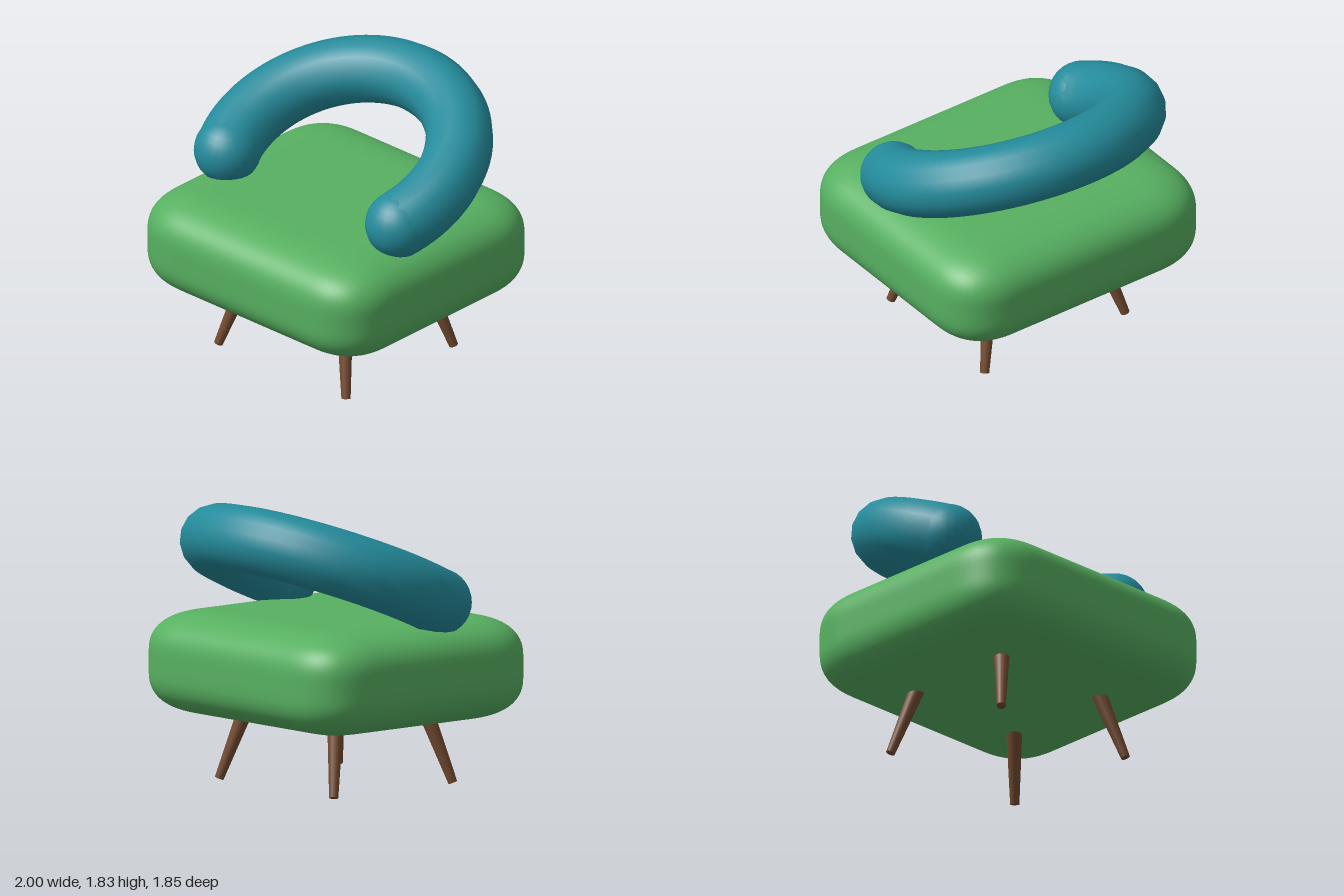
import * as THREE from 'three';
import { mergeVertices } from 'three/addons/utils/BufferGeometryUtils.js';

// Box with soft, slightly squared-off rounding on every edge
function cushionGeometry(half, radius, power) {
  const geo = new THREE.BoxGeometry(half.x * 2, half.y * 2, half.z * 2, 36, 20, 36);
  geo.deleteAttribute('uv');
  geo.deleteAttribute('normal');
  const pos = geo.attributes.position;
  const axes = ['x', 'y', 'z'];
  const p = new THREE.Vector3(), inner = new THREE.Vector3(), d = new THREE.Vector3();
  const limit = half.clone().sub(radius);
  for (let i = 0; i < pos.count; i++) {
    p.fromBufferAttribute(pos, i);
    inner.copy(p).clamp(limit.clone().negate(), limit);
    d.copy(p).sub(inner).divide(radius);
    const len = axes.reduce((s, a) => s + Math.abs(d[a]) ** power, 0) ** (1 / power);
    d.divideScalar(len || 1).multiply(radius).add(inner);
    pos.setXYZ(i, d.x, d.y, d.z);
  }
  const merged = mergeVertices(geo, 1e-4);
  merged.computeVertexNormals();
  return merged;
}

export function createModel() {
  const group = new THREE.Group();
  const green = new THREE.MeshStandardMaterial({ name: 'green fabric', color: 0x57b061 });
  const teal = new THREE.MeshStandardMaterial({ name: 'teal fabric', color: 0x248b9b });
  const brown = new THREE.MeshStandardMaterial({ name: 'brown wood', color: 0x744b30 });

  const add = (name, geo, mat, parent = group) => {
    const mesh = new THREE.Mesh(geo, mat);
    mesh.name = name;
    parent.add(mesh);
    return mesh;
  };

  // Seat cushion
  const seat = add('seat', cushionGeometry(
    new THREE.Vector3(0.975, 0.329, 0.9), new THREE.Vector3(0.42, 0.27, 0.42), 2.5), green);
  seat.position.set(0, 0.753, 0.025);

  // Backrest: a tilted horseshoe roll with rounded ends
  const backrest = new THREE.Group();
  backrest.name = 'backrest';
  group.add(backrest);
  const rollRadius = 0.213, overlap = 0.365, path = [];
  for (let i = 0; i <= 24; i++) {
    const t = -overlap + (i / 24) * (Math.PI + 2 * overlap);
    const z = -0.015 - 0.7 * Math.sin(t);
    path.push(new THREE.Vector3(0.787 * Math.cos(t), 1.615 - 0.427 * (z + 0.715), z));
  }
  add('backrestRoll', new THREE.TubeGeometry(
    new THREE.CatmullRomCurve3(path), 64, rollRadius, 16), teal, backrest);
  [['leftRollEnd', path[0]], ['rightRollEnd', path[24]]].forEach(([name, point]) => {
    add(name, new THREE.SphereGeometry(rollRadius, 24, 16), teal, backrest).position.copy(point);
  });

  // Splayed, tapered legs
  const up = new THREE.Vector3(0, 1, 0);
  for (const sx of [1, -1]) for (const sz of [1, -1]) {
    const foot = new THREE.Vector3(0.548 * sx, 0.012, 0.025 + 0.495 * sz);
    const top = new THREE.Vector3(0.402 * sx, 0.55, 0.025 + 0.352 * sz);
    const axis = top.clone().sub(foot);
    const name = (sz > 0 ? 'front' : 'back') + (sx > 0 ? 'Left' : 'Right') + 'Leg';
    const leg = add(name, new THREE.CylinderGeometry(0.055, 0.029, axis.length(), 16), brown);
    leg.position.copy(foot).add(top).multiplyScalar(0.5);
    leg.quaternion.setFromUnitVectors(up, axis.normalize());
  }
  return group;
}
